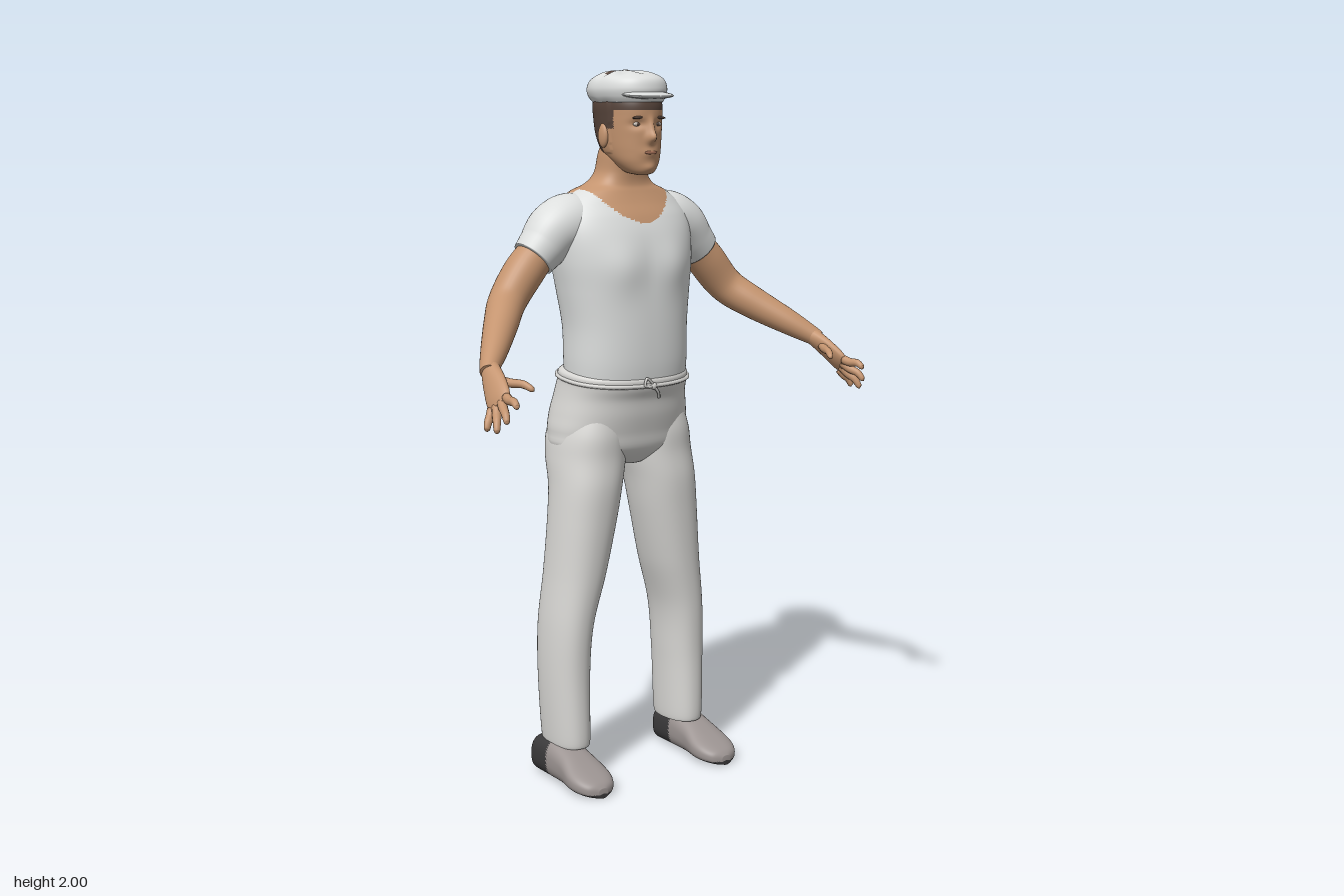
import * as THREE from 'three';

const mat = (name, color) => Object.assign(new THREE.MeshStandardMaterial({ color }), { name });

// Catmull-Rom interpolation through rows of numbers, t in 0..1
function sample(rows, t) {
  const f = t * (rows.length - 1), i = Math.min(Math.floor(f), rows.length - 2), k = f - i;
  const row = (n) => rows[Math.max(0, Math.min(rows.length - 1, n))];
  const [a, b, c, d] = [row(i - 1), row(i), row(i + 1), row(i + 2)];
  return b.map((v, n) => v + 0.5 * k * (c[n] - a[n]
    + k * (2 * a[n] - 5 * v + 4 * c[n] - d[n] + k * (3 * (v - c[n]) + d[n] - a[n]))));
}

// Closed skin over rings; ring(t) returns a function angle -> Vector3, pick(p) returns a material index
function loft(name, ring, materials, seg, steps, pick = () => 0) {
  const pts = [], faces = materials.map(() => []);
  for (let i = 0; i <= steps; i++) {
    const at = ring(i / steps);
    for (let j = 0; j < seg; j++) pts.push(at(j / seg * Math.PI * 2));
  }
  for (const i of [0, steps]) {
    const c = new THREE.Vector3();
    for (let j = 0; j < seg; j++) c.addScaledVector(pts[i * seg + j], 1 / seg);
    pts.push(c);
  }
  const tri = (a, b, c) => {
    const m = pts[a].clone().add(pts[b]).add(pts[c]).divideScalar(3);
    faces[pick(m)].push(a, b, c);
  };
  const first = (steps + 1) * seg, last = steps * seg;
  for (let j = 0; j < seg; j++) {
    const n = (j + 1) % seg;
    for (let i = 0; i < steps; i++) {
      const a = i * seg + j, b = i * seg + n;
      tri(a, b, b + seg);
      tri(a, b + seg, a + seg);
    }
    tri(first, n, j);
    tri(first + 1, last + j, last + n);
  }
  const g = new THREE.BufferGeometry().setFromPoints(pts);
  g.setIndex(faces.flat());
  let start = 0;
  faces.forEach((f, i) => { g.addGroup(start, f.length, i); start += f.length; });
  g.computeVertexNormals();
  const mesh = new THREE.Mesh(g, materials);
  mesh.name = name;
  return mesh;
}

const sp = (v, n) => Math.sign(v) * Math.pow(Math.abs(v), 2 / n);

// Upright form from rows [y, right x, left x, front z, back z]
const upright = (rows, n, bend = (p) => p) => (t) => {
  const [y, x0, x1, zf, zb] = sample(rows, t);
  return (a) => bend(new THREE.Vector3(
    (x0 + x1) / 2 + (x1 - x0) / 2 * sp(Math.sin(a), n), y,
    (zf + zb) / 2 + (zf - zb) / 2 * sp(Math.cos(a), n)));
};
const even = (rows) => rows.map(([y, w, zf, zb]) => [y, -w, w, zf, zb]);

// Limb through points [x, y, z, radius along ref, other radius]
const limb = (rows, s, ref = [1, 1, 0]) => (t) => {
  const P = (k) => new THREE.Vector3(...sample(rows, Math.max(0, Math.min(1, k))).slice(0, 3));
  const [x, y, z, ru, rv] = sample(rows, t);
  const dir = P(t + 0.01).sub(P(t - 0.01));
  const c = new THREE.Vector3(x * s, y, z);
  dir.x *= s;
  dir.normalize();
  const u = new THREE.Vector3(ref[0] * s, ref[1], ref[2]);
  u.addScaledVector(dir, -u.dot(dir)).normalize();
  const v = dir.clone().cross(u);
  return (a) => c.clone().addScaledVector(u, ru * Math.cos(a)).addScaledVector(v, rv * Math.sin(a));
};

const bump = (p, x, y, sx, sy) => Math.exp(-(((Math.abs(p.x) - x) / sx) ** 2) - ((p.y - y) / sy) ** 2);

export function createModel() {
  const root = new THREE.Group();
  root.name = 'man';
  const shirt = mat('shirtWhite', 0xdcdedd), cloth = mat('trouserWhite', 0xd8d7d4);
  const skin = mat('skin', 0xc4946f), hair = mat('hairBrown', 0x55433a);
  const shoe = mat('shoeGrey', 0x9c9492), dark = mat('shoeDark', 0x3b3a3b);
  const lip = mat('lip', 0xa8735a), eye = mat('eyeWhite', 0xcfc6bd);

  const blob = (name, m, x, y, z, sx, sy, sz, rz = 0) => {
    const b = new THREE.Mesh(new THREE.SphereGeometry(1, 20, 12), m);
    b.name = name;
    b.position.set(x, y, z);
    b.scale.set(sx, sy, sz);
    b.rotation.z = rz;
    root.add(b);
    return b;
  };

  // Shirt body and neck, with a scooped neckline
  root.add(loft('torso', upright(even([
    [1.13, 0.18, 0.04, -0.215], [1.2, 0.184, 0.046, -0.218], [1.3, 0.186, 0.046, -0.222],
    [1.4, 0.2, 0.042, -0.235], [1.48, 0.213, 0.036, -0.243], [1.55, 0.218, 0.022, -0.243],
    [1.6, 0.21, 0.003, -0.236], [1.64, 0.185, -0.02, -0.225], [1.67, 0.145, -0.035, -0.208],
    [1.69, 0.1, -0.042, -0.19], [1.72, 0.074, -0.04, -0.175], [1.77, 0.066, -0.03, -0.165],
    [1.8, 0.06, -0.035, -0.15]]), 2.3, (p) => {
    if (p.z > -0.08) p.z += 0.012 * bump(p, 0.085, 1.47, 0.06, 0.07);
    else p.z += 0.012 * bump(p, 0, 1.4, 0.03, 0.16);
    return p;
  }), [shirt, skin], 112, 108,
  (p) => (p.y > (p.z > -0.12 ? 1.585 + 5.2 * p.x * p.x : 1.665) ? 1 : 0)));

  // Trouser seat; the waist rises towards the back
  const tilt = (p) => {
    p.y -= 0.1 * (p.z + 0.1) * THREE.MathUtils.smoothstep(p.y, 1.08, 1.15);
    return p;
  };
  root.add(loft('trouserSeat', upright(even([
    [0.905, 0.05, -0.04, -0.19], [0.95, 0.2, -0.002, -0.245], [1.0, 0.215, 0.01, -0.262],
    [1.05, 0.208, 0.022, -0.268], [1.1, 0.197, 0.03, -0.258], [1.14, 0.191, 0.042, -0.246],
    [1.165, 0.191, 0.046, -0.24], [1.178, 0.18, 0.036, -0.215]]), 2.3, (p) => {
    if (p.z < -0.12) p.z += 0.014 * bump(p, 0, 0.98, 0.025, 0.07) - 0.007 * bump(p, 0.1, 1.03, 0.06, 0.06);
    return tilt(p);
  }), [cloth], 72, 40));

  // Waist cord with a tied knot
  const cord = [];
  for (let i = 0; i < 32; i++) {
    const a = i / 32 * Math.PI * 2;
    cord.push(tilt(new THREE.Vector3(0.193 * sp(Math.sin(a), 2.3), 1.152, -0.1 + 0.147 * sp(Math.cos(a), 2.3))));
  }
  const tube = (name, pts, r, closed) => {
    const m = new THREE.Mesh(new THREE.TubeGeometry(new THREE.CatmullRomCurve3(pts, closed), 64, r, 6, closed), cloth);
    m.name = name;
    root.add(m);
  };
  tube('waistCord', cord, 0.006, true);
  const v = (x, y, z) => new THREE.Vector3(x, y, z);
  tube('cordLoop', [v(0, 1.137, 0.05), v(-0.025, 1.16, 0.053), v(-0.03, 1.14, 0.053)], 0.004, true);
  tube('cordEnd', [v(0, 1.137, 0.05), v(0.02, 1.115, 0.045), v(0.028, 1.1, 0.037)], 0.004, false);
  blob('cordKnot', cloth, 0, 1.137, 0.05, 0.01, 0.01, 0.007);

  for (const s of [1, -1]) {
    const side = s > 0 ? 'left' : 'right';
    // Trouser leg with a worn spot on the calf
    const leg = [[0.105, 0.152, 0.248, -0.022, -0.183], [0.12, 0.145, 0.257, -0.013, -0.192],
      [0.3, 0.14, 0.265, -0.017, -0.2], [0.45, 0.128, 0.262, -0.012, -0.205],
      [0.6, 0.085, 0.247, -0.004, -0.203], [0.75, 0.05, 0.235, 0.004, -0.203],
      [0.85, 0.03, 0.227, 0.008, -0.213], [0.93, 0.01, 0.221, 0.003, -0.243],
      [1, 0.01, 0.21, 0.003, -0.25], [1.08, 0.02, 0.18, -0.01, -0.22]];
    root.add(loft(side + 'TrouserLeg',
      upright(leg.map(([y, a, b, f, k]) => (s > 0 ? [y, a, b, f, k] : [y, -b, -a, f, k])), 2.2),
      [cloth, shoe], 56, 90,
      (p) => (p.z < -0.12 && ((s * p.x - 0.226) / 0.016) ** 2 + ((p.y - 0.21) / 0.028) ** 2 < 1 ? 1 : 0)));

    // Shoe: sections along z as [z, half width, height]
    const shoeRows = [[-0.192, 0.03, 0.085], [-0.18, 0.05, 0.108], [-0.1, 0.055, 0.118], [-0.03, 0.056, 0.1],
      [0.03, 0.065, 0.072], [0.07, 0.06, 0.056], [0.1, 0.042, 0.042], [0.114, 0.014, 0.028]];
    root.add(loft(side + 'Shoe', (t) => {
      const [z, w, h] = sample(shoeRows, t);
      return (a) => new THREE.Vector3(s * 0.219 + w * sp(Math.cos(a), 2.6), h / 2 + h / 2 * sp(Math.sin(a), 2.6), z);
    }, [shoe, dark], 48, 50, (p) => (p.z < -0.097 || p.y < 0.012 ? 1 : 0)));

    // Sleeve and bare arm
    const round = (rows) => rows.map((r) => [...r, r[3]]);
    root.add(loft(side + 'Sleeve', limb(round([[0.07, 1.565, -0.125, 0.07], [0.15, 1.583, -0.125, 0.084],
      [0.21, 1.565, -0.122, 0.08], [0.255, 1.522, -0.12, 0.068], [0.284, 1.492, -0.12, 0.061]]), s), [shirt], 40, 28));
    root.add(loft(side + 'Arm', limb(round([[0.25, 1.525, -0.12, 0.05], [0.31, 1.463, -0.12, 0.056],
      [0.375, 1.385, -0.106, 0.052], [0.43, 1.335, -0.05, 0.047], [0.5, 1.28, 0.03, 0.037],
      [0.548, 1.242, 0.083, 0.027], [0.56, 1.23, 0.1, 0.024]]), s), [skin], 32, 40));

    // Hand
    root.add(loft(side + 'Palm', limb([[0.548, 1.242, 0.083, 0.024, 0.024], [0.564, 1.208, 0.13, 0.036, 0.019],
      [0.577, 1.176, 0.17, 0.04, 0.016], [0.584, 1.158, 0.19, 0.034, 0.01]], s, [0.36, -0.59, -0.73]), [skin], 24, 16));
    [['Index', [0.571, 1.18, 0.2], [0.582, 1.165, 0.27]], ['Middle', [0.578, 1.168, 0.188], [0.602, 1.125, 0.253]],
      ['Ring', [0.585, 1.156, 0.175], [0.615, 1.098, 0.225]], ['Little', [0.591, 1.145, 0.162], [0.62, 1.098, 0.183]],
      ['Thumb', [0.553, 1.215, 0.125], [0.502, 1.196, 0.222]]].forEach(([name, a, b]) => {
      const rows = [[0, 0.013], [0.35, 0.012], [0.7, 0.0105], [0.94, 0.008], [1, 0.003]]
        .map(([k, r]) => [...a.map((q, n) => q + (b[n] - q) * k), r, r]);
      rows[2][1] += 0.006;
      root.add(loft(side + name + 'Finger', limb(rows, s), [skin], 12, 12));
    });

    // Ears, eyes and brows
    blob(side + 'Ear', skin, s * 0.084, 1.822, -0.07, 0.011, 0.033, 0.02);
    blob(side + 'Eye', eye, s * 0.034, 1.853, 0.019, 0.013, 0.006, 0.005);
    blob(side + 'Pupil', hair, s * 0.034, 1.853, 0.022, 0.005, 0.005, 0.004);
    blob(side + 'Brow', hair, s * 0.036, 1.871, 0.027, 0.02, 0.004, 0.006, -s * 0.08);
  }

  // Head with sculpted face and cropped hair
  root.add(loft('head', upright(even([
    [1.716, 0.015, 0.01, -0.02], [1.724, 0.038, 0.026, -0.06], [1.75, 0.06, 0.032, -0.1],
    [1.78, 0.073, 0.034, -0.145], [1.82, 0.08, 0.035, -0.17], [1.87, 0.084, 0.037, -0.18],
    [1.91, 0.084, 0.035, -0.182], [1.95, 0.07, 0.01, -0.16]]), 2.1, (p) => {
    if (p.z > -0.02) {
      p.z += 0.022 * bump(p, 0, 1.817, 0.013, 0.015) + 0.012 * bump(p, 0, 1.84, 0.01, 0.025);
      p.z += 0.005 * bump(p, 0, 1.776, 0.025, 0.014) - 0.009 * bump(p, 0.034, 1.853, 0.02, 0.012);
      p.z += 0.005 * bump(p, 0, 1.735, 0.02, 0.012);
    }
    if (p.z < -0.045 && p.y > 1.775) p.x *= 1.03;
    return p;
  }), [skin, hair], 112, 80, (p) =>
    (p.y > 1.89 || (p.z < -0.03 && p.y > 1.84) || (p.z < -0.088 && p.y > 1.772) ? 1 : 0)));
  blob('mouth', lip, 0, 1.777, 0.0365, 0.021, 0.005, 0.0045);

  // Soft cap, gathered at the crown with gaps that show the hair
  root.add(loft('cap', upright(even([
    [1.912, 0.085, 0.038, -0.182], [1.928, 0.096, 0.045, -0.198], [1.95, 0.1, 0.048, -0.202],
    [1.975, 0.09, 0.038, -0.188], [1.991, 0.064, 0.004, -0.158], [1.997, 0.036, -0.035, -0.122],
    [1.997, 0.004, -0.078, -0.086]]), 2.1, (p) => {
    const a = Math.atan2(p.x, p.z + 0.082), r = Math.hypot(p.x, p.z + 0.082);
    p.y -= 0.003 * (1 + Math.cos(8 * a)) * Math.exp(-(((r - 0.06) / 0.03) ** 2));
    return p;
  }), [shirt, hair], 112, 66, (p) => {
    const a = Math.atan2(p.z + 0.082, p.x), r = Math.hypot(p.x, p.z + 0.082);
    const reach = 0.046 - 0.016 * Math.cos(a);
    return p.y > 1.96 && r > 0.011 && r < reach && Math.cos(5 * a) < -0.15 - 0.7 * Math.abs(r / reach - 0.6) ? 1 : 0;
  }));
  blob('capButton', shirt, 0, 1.996, -0.082, 0.011, 0.004, 0.011);
  blob('capBrim', shirt, 0, 1.931, 0.02, 0.078, 0.011, 0.06).rotation.x = 0.06;

  return root;
}
